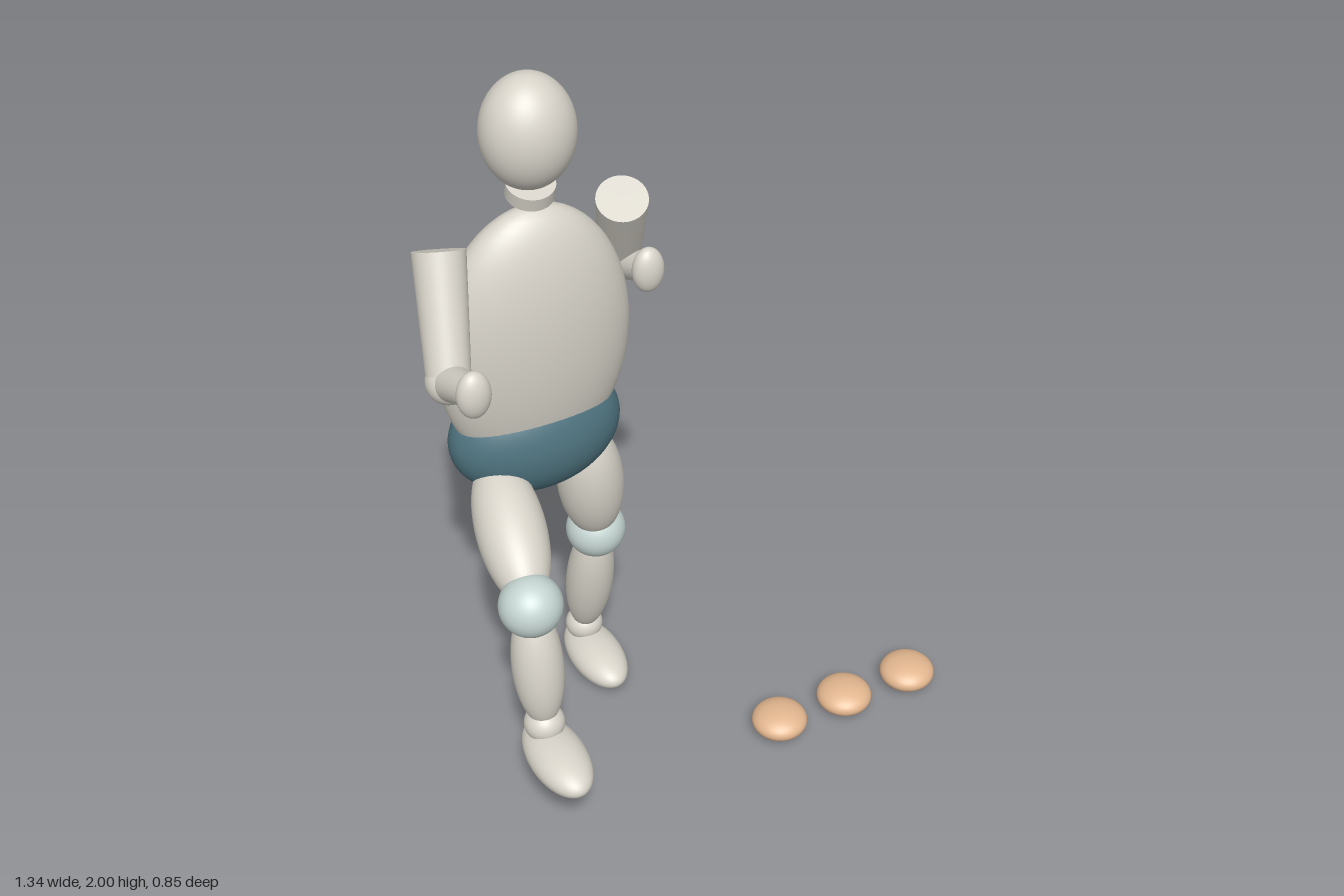
import * as THREE from 'three';

const mat = (color) => new THREE.MeshStandardMaterial({ color });
const UP = new THREE.Vector3(0, 1, 0);

export function createModel() {
  const group = new THREE.Group();
  const body = mat(0xd8d4ca);
  const trunks = mat(0x4f7480);
  const joint = mat(0xc6d6d2);
  const disc = mat(0xe2b68f);

  const add = (name, geometry, material, position) => {
    const mesh = new THREE.Mesh(geometry, material);
    mesh.name = name;
    mesh.position.set(...position);
    group.add(mesh);
    return mesh;
  };
  const ellipsoid = (name, position, radii, material = body) => {
    const mesh = add(name, new THREE.SphereGeometry(1, 48, 32), material, position);
    mesh.scale.set(...radii);
    return mesh;
  };
  // Turns a mesh's y axis along the line from a to b and centres it there
  const align = (mesh, a, b) => {
    const from = new THREE.Vector3(...a);
    const to = new THREE.Vector3(...b);
    mesh.position.copy(from).lerp(to, 0.5);
    mesh.quaternion.setFromUnitVectors(UP, to.sub(from).normalize());
  };
  const distance = (a, b) => new THREE.Vector3(...a).distanceTo(new THREE.Vector3(...b));
  const spindle = (name, a, b, r) =>
    align(ellipsoid(name, [0, 0, 0], [r, distance(a, b) / 2, r]), a, b);
  const rod = (name, a, b, rA, rB) =>
    align(add(name, new THREE.CylinderGeometry(rB, rA, distance(a, b), 40), body, [0, 0, 0]), a, b);

  // Head, neck and trunk
  ellipsoid('head', [-0.34, 1.86, -0.13], [0.113, 0.14, 0.104]);
  const neck = add('neck', new THREE.CylinderGeometry(0.058, 0.058, 0.036, 40), body, [-0.34, 1.712, -0.133]);
  neck.rotation.x = 0.28;
  const torso = ellipsoid('torso', [-0.338, 1.27, -0.17], [0.25, 0.39, 0.122]);
  torso.rotation.x = 0.08;
  ellipsoid('pelvis', [-0.338, 0.99, -0.193], [0.227, 0.17, 0.135], trunks);

  // Arms: shoulder, elbow and hand positions
  const arms = [
    { side: 'right', shoulder: [-0.57, 1.61, -0.135], elbow: [-0.62, 1.35, 0], hand: [-0.62, 1.415, 0.157] },
    { side: 'left', shoulder: [-0.105, 1.61, -0.145], elbow: [-0.055, 1.35, -0.28], hand: [-0.055, 1.415, -0.115] },
  ];
  for (const { side, shoulder, elbow, hand } of arms) {
    rod(`${side}UpperArm`, shoulder, elbow, 0.063, 0.052);
    ellipsoid(`${side}Elbow`, elbow, [0.055, 0.055, 0.055]);
    rod(`${side}Forearm`, elbow, hand, 0.047, 0.032);
    ellipsoid(`${side}Hand`, hand, [0.041, 0.061, 0.031]);
  }

  // Legs: hip, knee, ankle and foot positions
  const legs = [
    { side: 'right', hip: [-0.455, 0.93, -0.2], knee: [-0.521, 0.755, 0.167], ankle: [-0.522, 0.4, 0.213], foot: [-0.522, 0.343, 0.285] },
    { side: 'left', hip: [-0.2, 0.935, -0.2], knee: [-0.155, 0.543, -0.252], ankle: [-0.157, 0.118, -0.352], foot: [-0.157, 0.056, -0.28] },
  ];
  for (const { side, hip, knee, ankle, foot } of legs) {
    spindle(`${side}Thigh`, hip, knee, 0.088);
    ellipsoid(`${side}Knee`, knee, [0.08, 0.079, 0.079], joint);
    spindle(`${side}Shin`, knee, ankle, 0.065);
    ellipsoid(`${side}Ankle`, ankle, [0.052, 0.048, 0.052]);
    ellipsoid(`${side}Foot`, foot, [0.073, 0.052, 0.144]);
  }

  // Row of flattened discs on the ground
  for (let i = 0; i < 3; i++) {
    ellipsoid(`disc${i + 1}`, [0.183 + i * 0.205, 0.045, 0.177], [0.076, 0.039, 0.076], disc);
  }
  return group;
}
